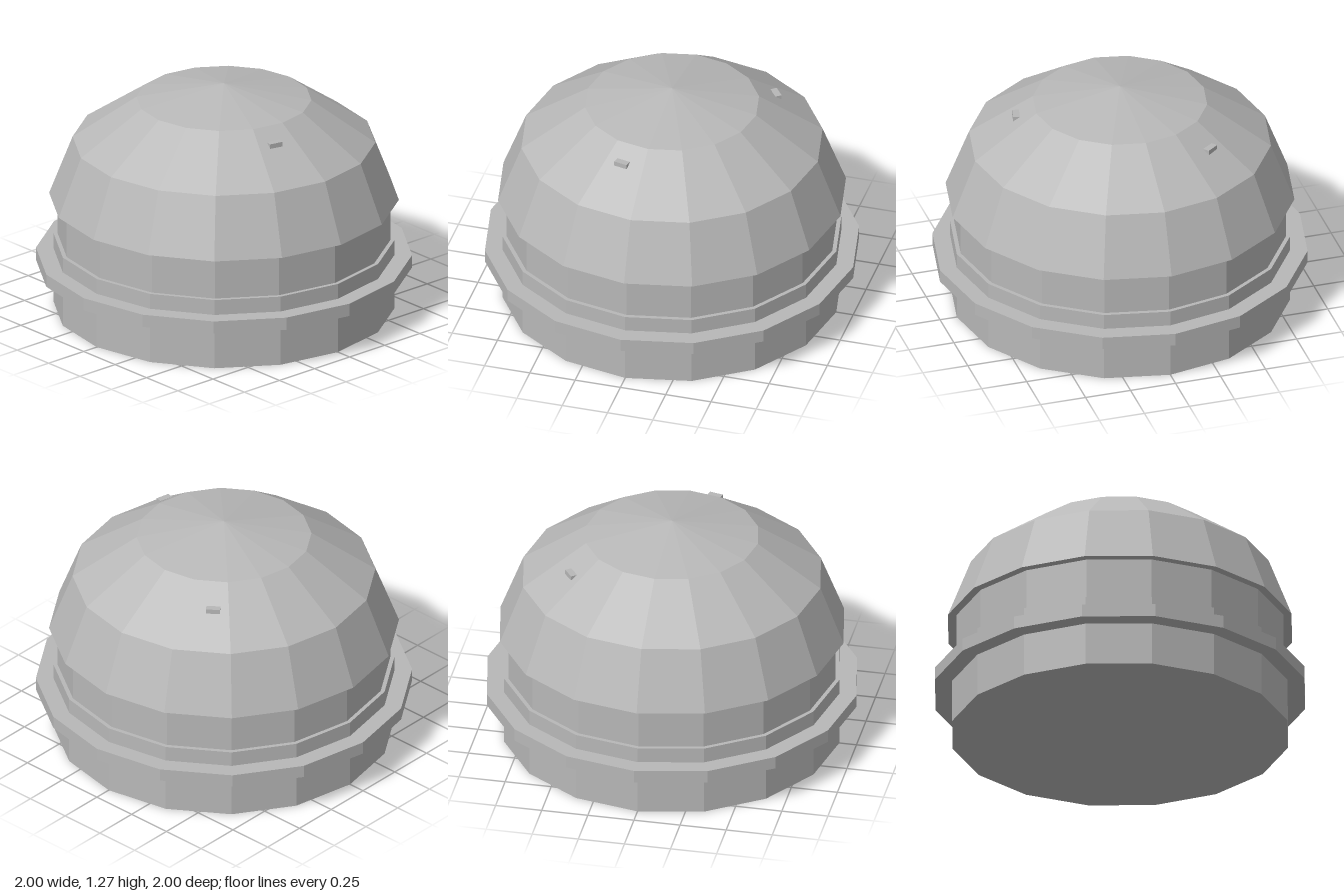
import * as THREE from 'three';

const SIDES = 16;

export function createModel() {
  const model = new THREE.Group();
  const grey = new THREE.MeshStandardMaterial({ color: 0xb8b8b8 });
  grey.name = 'plain grey';
  grey.flatShading = true;

  function add(name, geometry) {
    const mesh = new THREE.Mesh(geometry, grey);
    mesh.name = name;
    model.add(mesh);
    return mesh;
  }

  // Stacked drums: name, radius, bottom, top
  const drums = [
    ['base', 0.907, 0, 0.39],
    ['flange', 1, 0.235, 0.305],
    ['neck', 0.885, 0.39, 0.62],
  ];
  for (const [name, radius, bottom, top] of drums) {
    const drum = add(name, new THREE.CylinderGeometry(radius, radius, top - bottom, SIDES));
    drum.position.y = (bottom + top) / 2;
  }

  // Faceted dome with a flat, overhanging underside
  const profile = [[0, 0.62], [0.93, 0.62], [0.805, 0.945], [0.465, 1.18], [0, 1.267]];
  add('dome', new THREE.LatheGeometry(profile.map(([r, y]) => new THREE.Vector2(r, y)), SIDES));

  // Small studs half sunk into the dome, facing outwards
  const studs = [
    ['frontStud', -0.122, 1.112, 0.54],
    ['sideStud', 0.473, 1.085, -0.355],
  ];
  for (const [name, x, y, z] of studs) {
    const stud = add(name, new THREE.BoxGeometry(0.075, 0.026, 0.036));
    stud.position.set(x, y, z);
    stud.rotation.y = Math.atan2(x, z);
  }

  return model;
}
